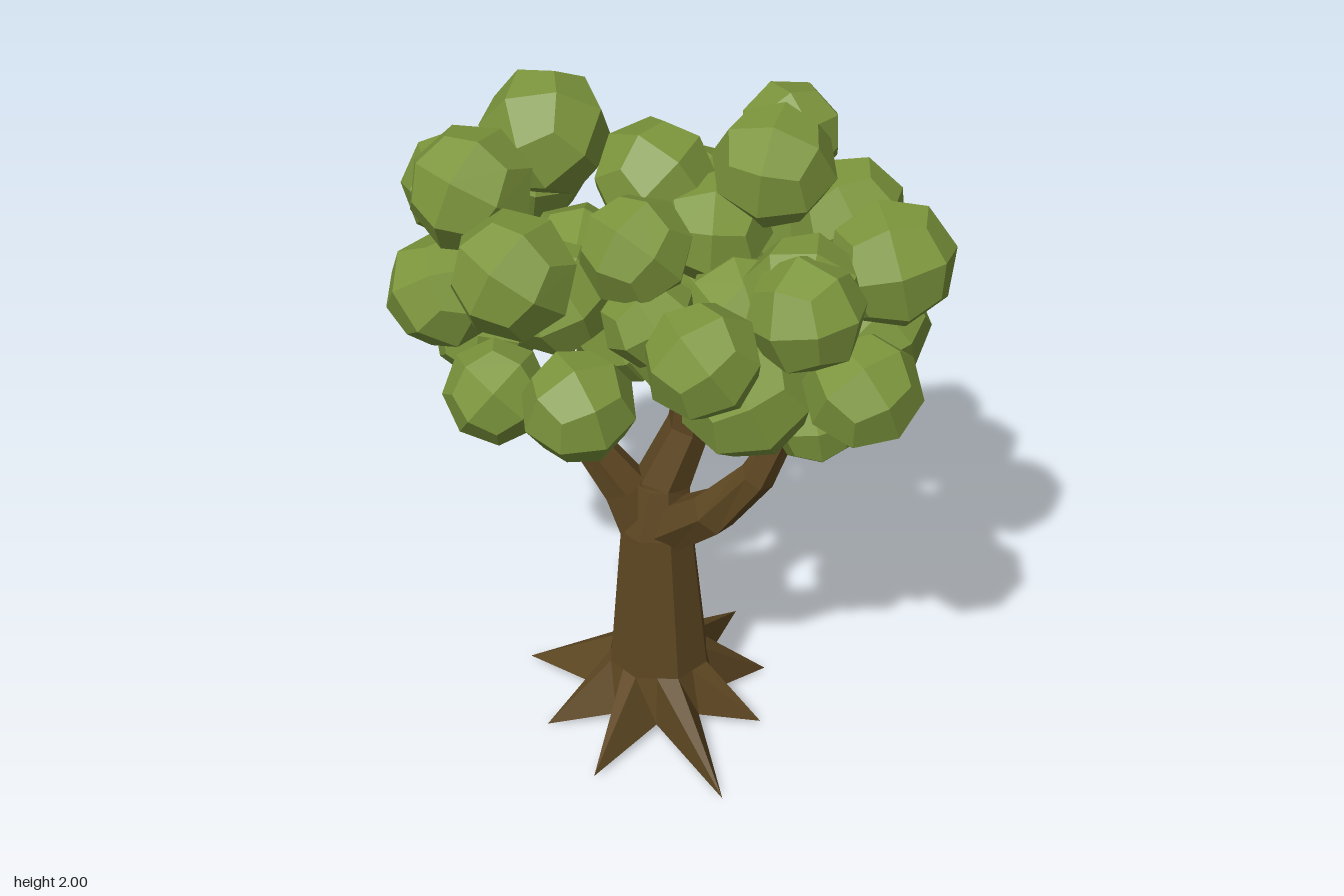
import * as THREE from 'three';

const bark = new THREE.MeshStandardMaterial({ color: 0x5e4722, flatShading: true });
bark.name = 'bark brown';
const leaf = new THREE.MeshStandardMaterial({ color: 0x7c953c, flatShading: true });
leaf.name = 'leaf green';

// Skin a stack of equal-length rings and close both ends
function loft(rings) {
  const pos = [];
  const tri = (...pts) => pts.forEach((p) => pos.push(p.x, p.y, p.z));
  const middle = (ring) => ring.reduce((s, p) => s.add(p), new THREE.Vector3()).divideScalar(ring.length);
  const n = rings[0].length, last = rings[rings.length - 1];
  const bottom = middle(rings[0]), top = middle(last);
  for (let j = 0; j < n; j++) {
    const k = (j + 1) % n;
    for (let i = 0; i < rings.length - 1; i++) {
      const a = rings[i][j], b = rings[i][k], c = rings[i + 1][k], d = rings[i + 1][j];
      tri(a, d, c);
      tri(a, c, b);
    }
    tri(bottom, rings[0][j], rings[0][k]);
    tri(top, last[k], last[j]);
  }
  const g = new THREE.BufferGeometry();
  g.setAttribute('position', new THREE.Float32BufferAttribute(pos, 3));
  g.computeVertexNormals();
  return g;
}

// Tapered six-sided limb through [x, y, z, radius] stations
function limb(stations) {
  const pts = stations.map(([x, y, z]) => new THREE.Vector3(x, y, z));
  return loft(stations.map((s, i) => {
    const t = pts[Math.min(i + 1, pts.length - 1)].clone().sub(pts[Math.max(i - 1, 0)]).normalize();
    const u = new THREE.Vector3(1, 0, 0).addScaledVector(t, -t.x).normalize();
    const v = u.clone().cross(t);
    return Array.from({ length: 6 }, (_, j) => {
      const a = (j / 6) * Math.PI * 2 + 0.3;
      return pts[i].clone().addScaledVector(u, Math.cos(a) * s[3]).addScaledVector(v, Math.sin(a) * s[3]);
    });
  }));
}

// Trunk with a star of roots: eight tips, valleys between them
function trunkGeometry() {
  const tips = [[0.27, 0.03], [0.18, 0.365], [-0.19, 0.31], [-0.35, 0.08],
    [-0.435, -0.22], [-0.15, -0.29], [0.17, -0.468], [0.27, -0.23]];
  const angles = tips.map(([x, z]) => Math.atan2(z + 0.07, x + 0.035));
  const ring = (y, cx, cz, r) => {
    const corners = angles.map((a) => new THREE.Vector3(cx + Math.cos(a) * r, y, cz + Math.sin(a) * r));
    return corners.flatMap((p, i) => [p, p.clone().lerp(corners[(i + 1) % 8], 0.5)]);
  };
  const ground = ring(0.03, -0.035, -0.07, 0.18);
  tips.forEach(([x, z], i) => ground[i * 2].set(x, i === 6 ? 0.025 : i % 2 ? 0 : 0.01, z));
  return loft([ground, ring(0.18, -0.035, -0.07, 0.15), ring(0.65, -0.04, -0.05, 0.107),
    ring(0.8, -0.03, -0.04, 0.065)]);
}

// Faceted ball of 24 flat kites: a cube grid pushed out to a sphere
function ballGeometry() {
  const g = new THREE.BoxGeometry(2, 2, 2, 2, 2, 2);
  const p = g.attributes.position, v = new THREE.Vector3();
  for (let i = 0; i < p.count; i++) {
    v.fromBufferAttribute(p, i);
    v.setLength(v.lengthSq() > 2.5 ? 0.947 : 1);
    p.setXYZ(i, v.x, v.y, v.z);
  }
  g.computeVertexNormals();
  return g;
}

export function createModel() {
  const tree = new THREE.Group();
  tree.name = 'tree';
  const add = (parent, name, geometry, material) => {
    const m = new THREE.Mesh(geometry, material);
    m.name = name;
    parent.add(m);
    return m;
  };

  add(tree, 'trunkAndRoots', trunkGeometry(), bark);

  // Three main branches reaching into the crown
  const branches = {
    rightBranch: [[-0.06, 0.6, -0.05, 0.08], [-0.13, 0.78, -0.05, 0.07], [-0.22, 0.92, -0.04, 0.054],
      [-0.28, 1.15, -0.02, 0.038], [-0.3, 1.35, -0.04, 0.025]],
    middleBranch: [[-0.03, 0.6, -0.06, 0.09], [-0.02, 0.8, -0.06, 0.08], [0.05, 0.98, -0.07, 0.063],
      [0.07, 1.2, -0.04, 0.052], [0.09, 1.42, -0.04, 0.035]],
    leftBranch: [[-0.02, 0.64, -0.04, 0.08], [0.13, 0.8, 0.09, 0.068], [0.25, 0.96, 0.14, 0.05],
      [0.32, 1.12, 0.15, 0.035], [0.36, 1.25, 0.15, 0.025]],
  };
  for (const [name, path] of Object.entries(branches)) add(tree, name, limb(path), bark);

  // Leaf clusters by height: [x, y, z, radius]
  const crown = new THREE.Group();
  crown.name = 'crown';
  tree.add(crown);
  const upper = [
    [0.27, 1.84, 0.02, 0.158], [-0.35, 1.77, -0.25, 0.172], [-0.51, 1.75, 0.04, 0.165],
    [-0.04, 1.75, -0.05, 0.16], [-0.07, 1.68, 0.2, 0.145], [-0.37, 1.65, 0.3, 0.163],
    [0.3, 1.78, -0.28, 0.138], [0.58, 1.59, 0.06, 0.167], [0.36, 1.62, 0.28, 0.15],
    [0.37, 1.62, 0.38, 0.15], [0.12, 1.66, 0.04, 0.145],
  ];
  const mid = [
    [0.12, 1.54, 0.49, 0.148], [-0.59, 1.46, 0.07, 0.152], [-0.6, 1.57, -0.3, 0.152],
    [-0.41, 1.53, -0.5, 0.145], [0.46, 1.57, -0.22, 0.158], [0.06, 1.6, -0.21, 0.155],
    [0.22, 1.47, -0.32, 0.157], [-0.03, 1.5, 0.24, 0.125], [-0.25, 1.49, -0.07, 0.15],
    [0.2, 1.5, 0.17, 0.15], [-0.28, 1.5, 0.15, 0.15], [0.01, 1.37, 0.1, 0.14],
  ];
  const lower = [
    [-0.2, 1.33, 0.4, 0.146], [0.22, 1.31, 0.27, 0.175], [0.52, 1.37, 0.33, 0.15],
    [0.54, 1.31, -0.1, 0.155], [0.4, 1.17, 0.17, 0.118], [-0.43, 1.28, 0.27, 0.135],
    [-0.52, 1.2, -0.17, 0.145], [-0.6, 1.34, -0.16, 0.13], [-0.13, 1.25, -0.1, 0.14],
    [-0.26, 1.32, -0.345, 0.155], [0.26, 1.21, -0.18, 0.14], [0.13, 1.35, -0.14, 0.13],
    [0.28, 1.37, 0.05, 0.15],
  ];
  const ball = ballGeometry();
  Object.entries({ upperLeaves: upper, middleLeaves: mid, lowerLeaves: lower }).forEach(([name, list]) => {
    const layer = new THREE.Group();
    layer.name = name;
    crown.add(layer);
    list.forEach(([x, y, z, r], i) => {
      const m = add(layer, 'leafCluster', ball, leaf);
      m.position.set(x, y, z);
      m.scale.setScalar(r * 1.05);
      m.rotation.set(i * 1.7 + 0.4, i * 2.3 + x * 5, i * 0.9 + z * 4);
    });
  });
  return tree;
}
